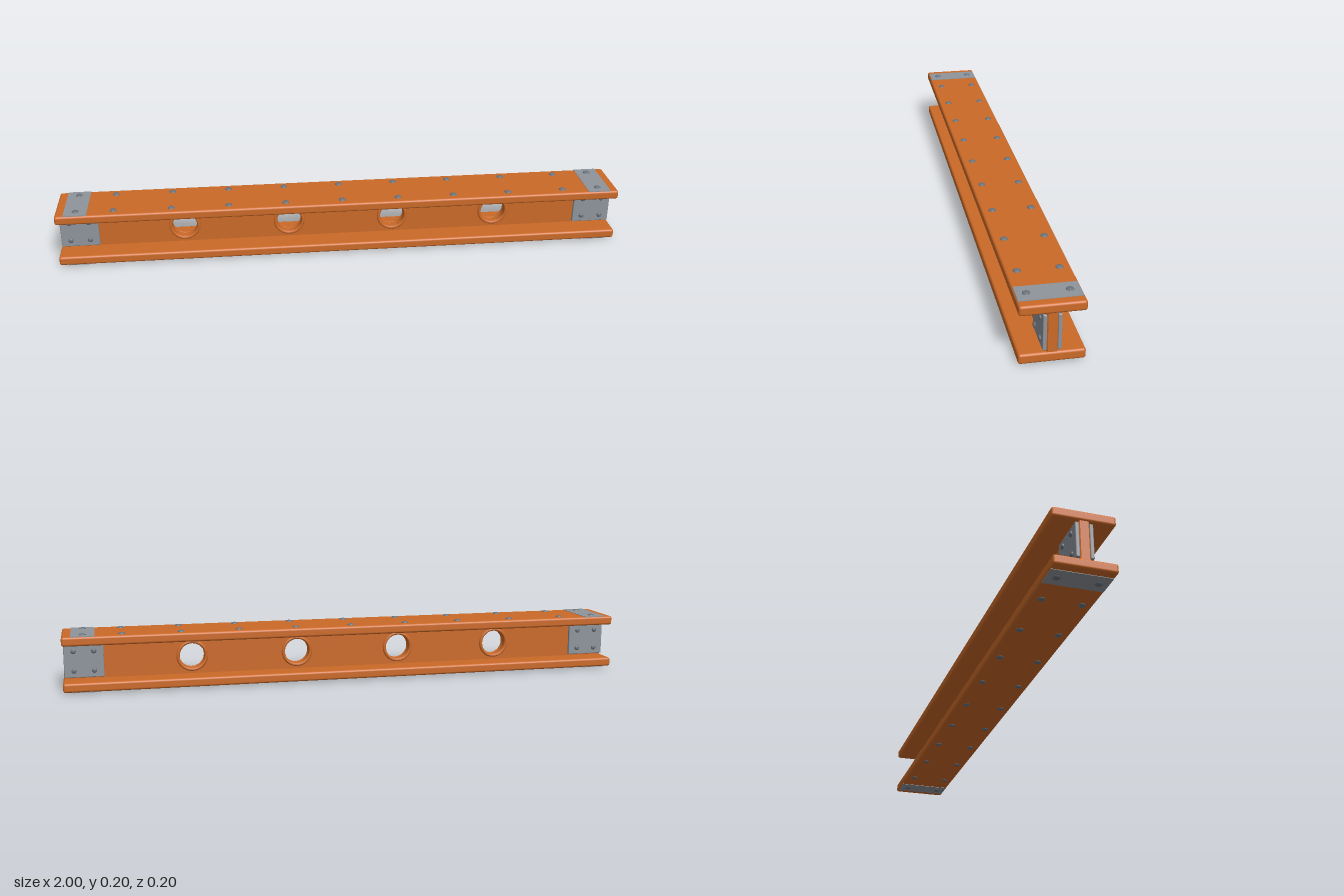
import * as THREE from 'three';
import { RoundedBoxGeometry } from 'three/addons/geometries/RoundedBoxGeometry.js';

const orange = new THREE.MeshStandardMaterial({ color: 0xcc6a28 });
orange.name = 'orange paint';
const steel = new THREE.MeshStandardMaterial({ color: 0x8f959c });
steel.name = 'grey steel';
const darkSteel = new THREE.MeshStandardMaterial({ color: 0x6c737b });
darkSteel.name = 'dark steel';

const MID = 0.102; // mid height of the beam

export function createModel() {
  const group = new THREE.Group();
  group.name = 'girder';
  const add = (name, geometry, material, x, y, z) => {
    const mesh = new THREE.Mesh(geometry, material);
    mesh.name = name;
    mesh.position.set(x, y, z);
    group.add(mesh);
    return mesh;
  };

  // Domed rivet head, base at y = 0
  const rivetGeometry = (r, h) => new THREE.LatheGeometry([
    [r, -0.001], [r, h * 0.35], [r * 0.8, h * 0.8], [r * 0.45, h], [0, h],
  ].map(([x, y]) => new THREE.Vector2(x, y)), 16);
  const flangeRivet = rivetGeometry(0.012, 0.005);
  const webRivet = rivetGeometry(0.009, 0.006);

  // Web with four round openings
  const holes = [-0.56, -0.187, 0.187, 0.56];
  const shape = new THREE.Shape();
  shape.moveTo(-0.993, -0.068);
  shape.lineTo(0.993, -0.068);
  shape.lineTo(0.993, 0.068);
  shape.lineTo(-0.993, 0.068);
  shape.closePath();
  for (const x of holes) {
    const hole = new THREE.Path();
    hole.absarc(x, 0, 0.048, 0, Math.PI * 2, true);
    shape.holes.push(hole);
  }
  const web = new THREE.ExtrudeGeometry(shape, {
    depth: 0.026, bevelThickness: 0.003, bevelSize: 0.003, bevelSegments: 1, curveSegments: 32,
  });
  web.translate(0, 0, -0.013);
  add('web', web, orange, 0, MID, 0);

  // Raised rims around the openings
  const rim = new THREE.TorusGeometry(0.0495, 0.006, 10, 36);
  for (const x of holes) {
    for (const s of [-1, 1]) add('holeRim', rim, orange, x, MID, s * 0.016);
  }

  // Flanges, with end plates and rivets on their outer faces
  const flange = new RoundedBoxGeometry(2, 0.032, 0.198, 3, 0.008);
  const flangePlate = new THREE.BoxGeometry(0.08, 0.004, 0.19);
  for (const s of [-1, 1]) {
    const side = s > 0 ? 'top' : 'bottom';
    add(side + 'Flange', flange, orange, 0, MID + s * 0.079, 0);
    for (const x of [-0.93, 0.93]) {
      add(side + 'EndPlate', flangePlate, steel, x, MID + s * 0.0945, 0);
    }
    for (let i = 0; i < 11; i++) {
      const end = i === 0 || i === 10;
      const x = end ? Math.sign(i - 5) * 0.93 : (i - 5) * 0.2;
      for (const z of [-0.064, 0.064]) {
        const rivet = add(side + 'Rivet', flangeRivet, darkSteel, x, MID + s * (end ? 0.096 : 0.095), z);
        if (s < 0) rivet.rotation.x = Math.PI;
      }
    }
  }

  // Splice plates and rivets on both faces of the web ends
  const webPlate = new RoundedBoxGeometry(0.134, 0.116, 0.012, 2, 0.003);
  for (const sz of [-1, 1]) {
    for (const sx of [-1, 1]) {
      add('webPlate', webPlate, steel, sx * 0.929, MID, sz * 0.022);
      for (const dx of [-0.034, 0.034]) {
        for (const dy of [-0.034, 0.034]) {
          const rivet = add('webRivet', webRivet, darkSteel, sx * 0.929 + dx, MID + dy, sz * 0.028);
          rivet.rotation.x = sz * Math.PI / 2;
        }
      }
    }
  }

  // Set the lowest rivets on the ground
  const box = new THREE.Box3().setFromObject(group);
  for (const part of group.children) part.position.y -= box.min.y;
  return group;
}
